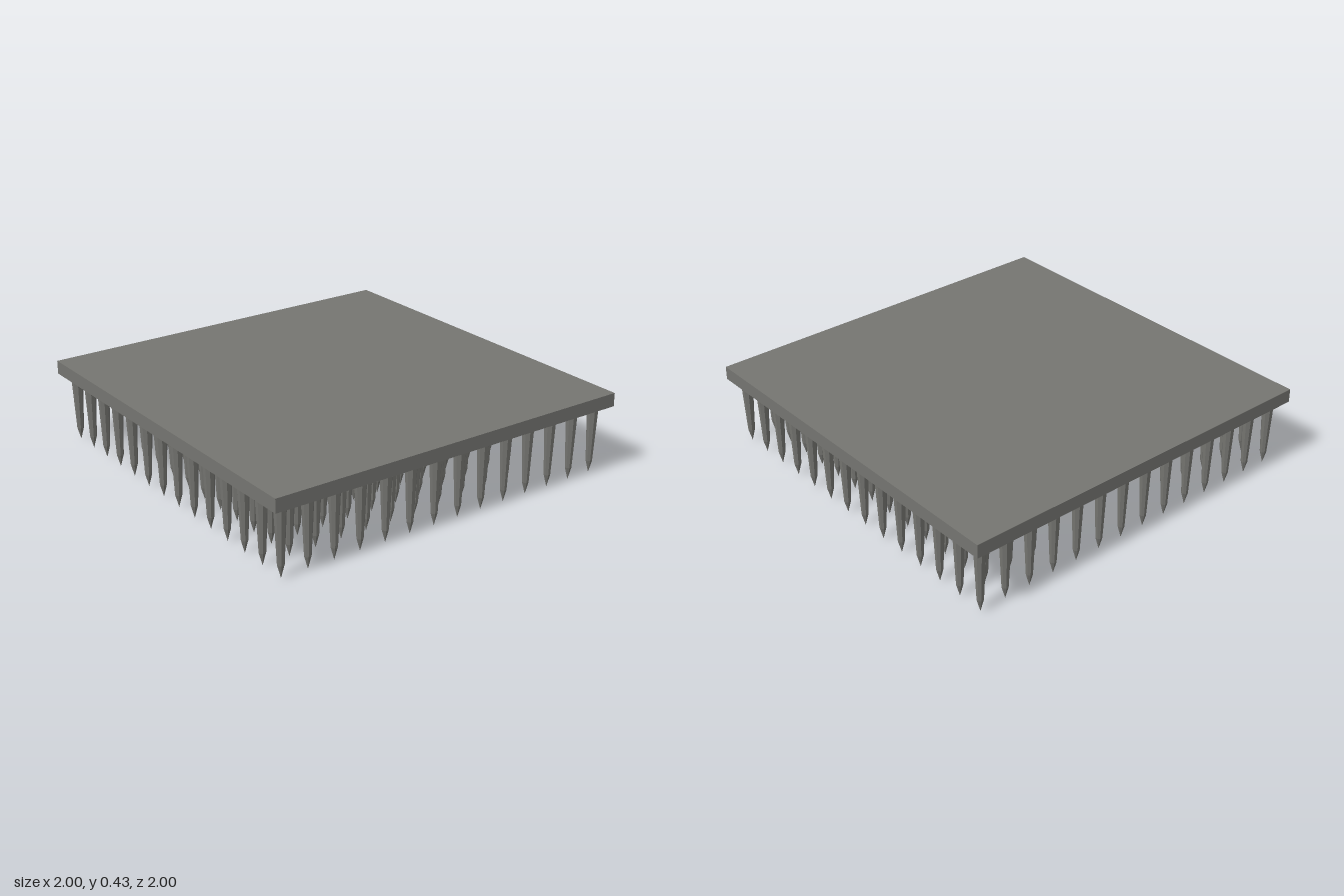
import * as THREE from 'three';
import { mergeGeometries } from 'three/addons/utils/BufferGeometryUtils.js';

export function createModel() {
  const group = new THREE.Group();
  group.name = 'spikedPanel';
  const metal = new THREE.MeshStandardMaterial({ color: 0x757571, flatShading: true });
  metal.name = 'dull grey metal';

  // Square plate on top
  const plate = new THREE.Mesh(new THREE.BoxGeometry(2, 0.07, 2), metal);
  plate.name = 'plate';
  plate.position.y = 0.395;
  group.add(plate);

  // One eight-sided profile, flat sides to the front; half-widths from tip to root
  const ratio = 1 / Math.cos(Math.PI / 8);
  const lathe = (profile) => new THREE.LatheGeometry(
    profile.map(([r, y]) => new THREE.Vector2(r * ratio, y)), 8, Math.PI / 8).toNonIndexed();
  const spike = lathe([[0, 0], [0.016, 0.065], [0.028, 0.345]]);
  const collar = lathe([[0, 0.343], [0.028, 0.343], [0.0714, 0.361]]);

  // Fourteen by fourteen spikes, each hanging from a flared collar
  const count = 14, pitch = 2 / count;
  const repeat = (name, geometry) => {
    const copies = [];
    for (let i = 0; i < count; i++) {
      for (let j = 0; j < count; j++) {
        copies.push(geometry.clone().translate((i + 0.5) * pitch - 1, 0, (j + 0.5) * pitch - 1));
      }
    }
    const merged = mergeGeometries(copies);
    merged.computeVertexNormals();
    const mesh = new THREE.Mesh(merged, metal);
    mesh.name = name;
    group.add(mesh);
  };
  repeat('spikes', spike);
  repeat('collars', collar);

  return group;
}
